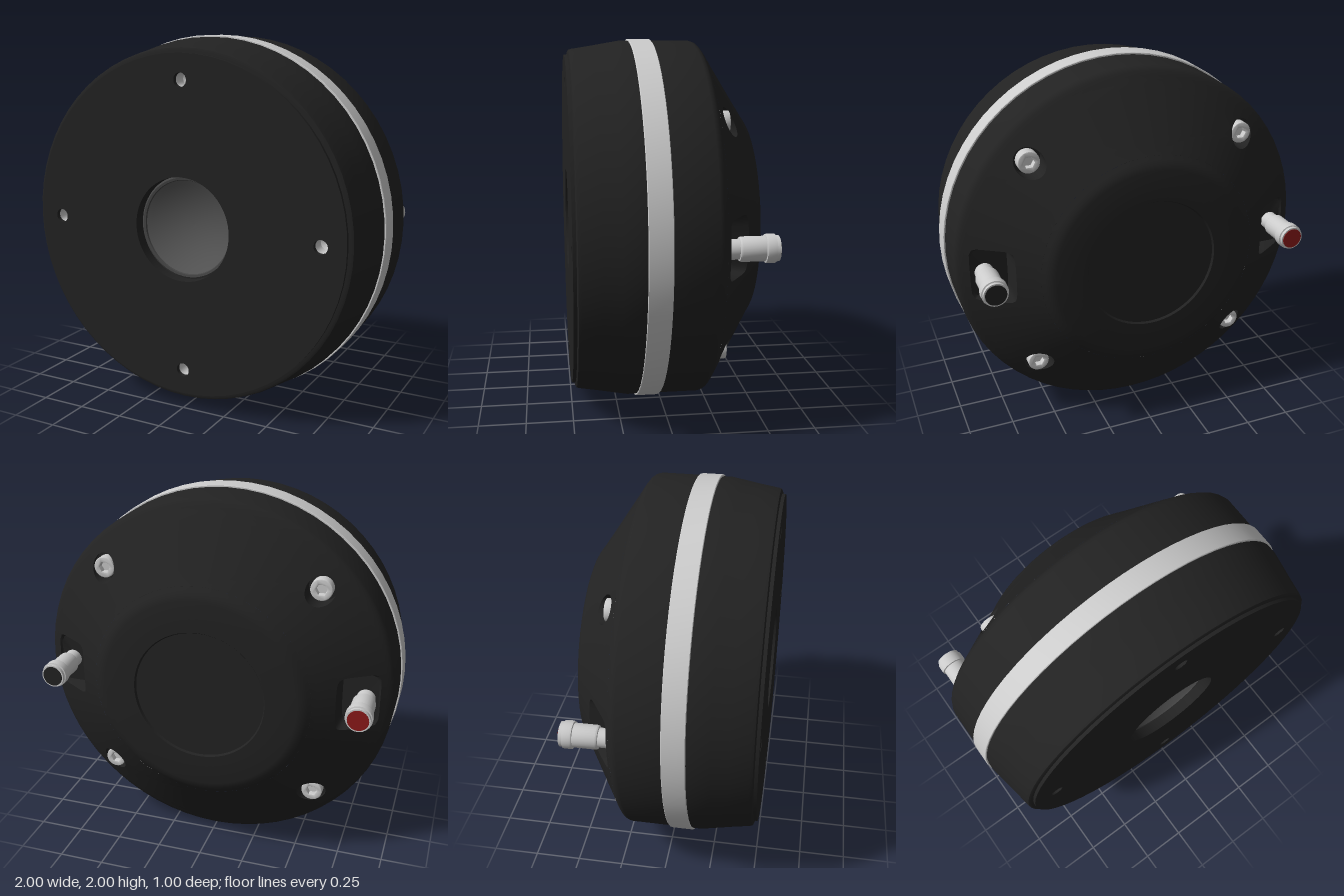
import * as THREE from 'three';
import { mergeGeometries, toCreasedNormals } from 'three/addons/utils/BufferGeometryUtils.js';

const SEG = 64;
const rad = THREE.MathUtils.degToRad;
const material = (color) => new THREE.MeshStandardMaterial({ color });
const black = material(0x222222), metal = material(0xcccccc), plugGrey = material(0x555555);
const rimGrey = material(0x444444), red = material(0x8c1a1a);

// Sharp edges kept, gentle ones smoothed (scaled up so small details stay distinct)
const crease = (g, angle = 0.5) => toCreasedNormals(g.scale(50, 50, 50), angle).scale(0.02, 0.02, 0.02);

// Profile of [radius, z] pairs turned about the z axis; listing back to front faces outward
const turned = (profile, seg = SEG) =>
  new THREE.LatheGeometry(profile.map(([r, z]) => new THREE.Vector2(r, z)), seg).rotateX(Math.PI / 2);

function add(parent, name, geometry, mat, x = 0, y = 0, z = 0) {
  const mesh = new THREE.Mesh(geometry, mat);
  mesh.name = name;
  mesh.position.set(x, y, z);
  parent.add(mesh);
  return mesh;
}

// Sloping rear cone between two radii
const R0 = 0.6, R1 = 0.95;
const coneZ = (r) => -0.455 + (r - R0) * (0.225 / (R1 - R0));

// Sector of the cone with a recess: loops run from the sector border to the
// recess edge, down its wall and across its floor
function coneSector(from, to, cx, cy, reach, floorZ, taper) {
  const mid = (from + to) / 2, arc = Math.round((to - from) / 5.625);
  const border = [];
  const side = (ra, ta, rb, tb, n) => {
    for (let i = 0; i < n; i++) border.push([ra + (rb - ra) * i / n, rad(ta + (tb - ta) * i / n)]);
  };
  side(R0, from, R1, from, 6);
  side(R1, from, R1, to, arc);
  side(R1, to, R0, to, 6);
  side(R0, to, R0, from, arc);

  // Extra points between border points keep the recess outline round
  const fine = border.flatMap((p, i) => {
    const q = border[(i + 1) % border.length];
    return [p, [(p[0] + q[0]) / 2, (p[1] + q[1]) / 2]];
  });
  const rim = fine.map(([r, t]) => {
    const a = Math.atan2(r * Math.sin(t) - cy, r * Math.cos(t) - cx), d = reach(a);
    return [cx + d * Math.cos(a), cy + d * Math.sin(a)];
  });
  const loops = [];
  for (let k = 0; k <= 4; k++) {
    loops.push(fine.map(([r, t], i) => {
      const [x, y] = rim[i], c = rad(mid), turn = Math.atan2(y, x) - c;
      const th = c + Math.atan2(Math.sin(turn), Math.cos(turn));
      const rr = THREE.MathUtils.lerp(r, Math.hypot(x, y), k / 4);
      const tt = THREE.MathUtils.lerp(t, th, k / 4);
      return [rr * Math.cos(tt), rr * Math.sin(tt), coneZ(rr)];
    }));
  }
  loops.push(rim.map(([x, y]) => {
    const fx = cx + (x - cx) * taper, fy = cy + (y - cy) * taper;
    return [fx, fy, Math.max(floorZ, coneZ(Math.hypot(fx, fy)))];
  }));
  loops.push(rim.map(() => [cx, cy, floorZ]));

  const pos = [], n = fine.length;
  for (let k = 0; k + 1 < loops.length; k++) {
    for (let i = 0; i < n; i++) {
      const j = (i + 1) % n, A = loops[k], B = loops[k + 1];
      pos.push(...A[i], ...B[i], ...A[j]);
      if (k + 2 < loops.length) pos.push(...B[i], ...B[j], ...A[j]);
    }
  }
  return new THREE.BufferGeometry().setAttribute('position', new THREE.Float32BufferAttribute(pos, 3));
}

const SCREW = 0.59, POST = 0.845;

function rearCover() {
  const bare = (g) => {
    const flat = g.toNonIndexed();
    flat.deleteAttribute('normal');
    flat.deleteAttribute('uv');
    return flat;
  };
  const parts = [
    // Back plate with its shallow round recess and rounded edge
    bare(turned([[0, -0.478], [0.355, -0.478], [0.362, -0.49], [0.53, -0.49], [0.56, -0.482], [0.582, -0.468], [R0, coneZ(R0)]])),
    // Rounded shoulder and cylindrical wall
    bare(turned([[R1, coneZ(R1)], [0.968, -0.218], [0.982, -0.205], [0.99, -0.185], [0.99, 0.05]])),
  ];
  // Rounded rectangular pockets for the terminals
  const pocket = (a) => 1 / Math.pow(Math.pow(Math.abs(Math.cos(a)) / 0.105, 7) + Math.pow(Math.abs(Math.sin(a)) / 0.15, 7), 1 / 7);
  for (const [from, s] of [[-22.5, 1], [157.5, -1]])
    parts.push(coneSector(from, from + 45, s * 0.815, 0, pocket, -0.24, 0.9));
  // Round counterbores for the screws
  for (const [from, sx, sy] of [[22.5, 1, 1], [90, -1, 1], [202.5, -1, -1], [270, 1, -1]])
    parts.push(coneSector(from, from + 67.5, sx * SCREW, sy * SCREW, () => 0.075, -0.235, 1));
  return crease(mergeGeometries(parts), 0.6);
}

// Disc outline with round holes of [x, y, radius]
function disc(radius, holes) {
  const shape = new THREE.Shape().absarc(0, 0, radius, 0, Math.PI * 2);
  for (const [x, y, r] of holes) shape.holes.push(new THREE.Path().absarc(x, y, r, 0, Math.PI * 2, true));
  return shape;
}

function capScrew() {
  const screw = new THREE.Group();
  const head = disc(0.058, []);
  const hex = Array.from({ length: 6 }, (_, i) =>
    new THREE.Vector2(0.03 * Math.cos(-i * Math.PI / 3), 0.03 * Math.sin(-i * Math.PI / 3)));
  head.holes.push(new THREE.Path(hex));
  const body = new THREE.ExtrudeGeometry(head, {
    depth: 0.05, bevelEnabled: true, bevelSize: 0.005, bevelOffset: -0.005, bevelThickness: 0.006, bevelSegments: 2, curveSegments: 16,
  });
  add(screw, 'screwHead', crease(body), metal, 0, 0, -0.29);
  add(screw, 'hexSocketFloor', new THREE.CircleGeometry(0.036, 6).rotateY(Math.PI), metal, 0, 0, -0.262);
  return screw;
}

function terminalPost(capMaterial) {
  const post = new THREE.Group();
  add(post, 'terminalBody', crease(turned([
    [0.055, -0.497], [0.064, -0.497], [0.064, -0.48], [0.071, -0.478], [0.072, -0.44], [0.07, -0.43],
    [0.062, -0.428], [0.062, -0.31], [0.058, -0.302], [0.05, -0.3], [0.05, -0.238],
  ], 28)), metal);
  add(post, 'terminalCap', turned([[0, -0.5], [0.056, -0.5], [0.056, -0.49]], 28).toNonIndexed(), capMaterial)
    .geometry.computeVertexNormals();
  return post;
}

export function createModel() {
  const model = new THREE.Group();
  model.name = 'compressionDriver';
  const driver = new THREE.Group();
  driver.name = 'driver';
  driver.position.y = 1;
  model.add(driver);

  add(driver, 'rearCover', rearCover(), black);
  add(driver, 'metalBand', crease(turned([[0.985, 0.035], [0.997, 0.035], [1, 0.038], [1, 0.152], [0.997, 0.155], [0.985, 0.155]])), metal);
  add(driver, 'frontHousing', crease(turned([
    [0.99, 0.14], [0.99, 0.2], [0.978, 0.27], [0.962, 0.36], [0.946, 0.46], [0.941, 0.476], [0.928, 0.482], [0.88, 0.482],
  ])), black);

  // Front plate with throat opening and four mounting holes
  const mounts = [[0.78, 0], [-0.78, 0], [0, 0.78], [0, -0.78]];
  const plate = disc(0.915, [[0, 0, 0.28], ...mounts.map(([x, y]) => [x, y, 0.037])]);
  add(driver, 'frontPlate', crease(new THREE.ExtrudeGeometry(plate, { depth: 0.025, bevelEnabled: false, curveSegments: 32 })), black, 0, 0, 0.475);
  for (const [x, y] of mounts)
    add(driver, 'mountingHole', crease(turned([[0.038, 0.492], [0.038, 0.4], [0, 0.38]], 20)), metal, x, y);

  // Throat wall, rim and concave screen
  add(driver, 'throatWall', crease(turned([[0.28, 0.5], [0.28, 0.435]])), black);
  add(driver, 'throatRim', crease(turned([[0.28, 0.437], [0.27, 0.444], [0.258, 0.442], [0.252, 0.43]])), rimGrey);
  const bowl = Array.from({ length: 11 }, (_, i) => {
    const r = 0.255 * (1 - i / 10);
    return [r, 0.36 + 0.075 * (r / 0.255) ** 2];
  });
  add(driver, 'throatScreen', turned(bowl), plugGrey);

  // Rear screws and terminals
  for (const sx of [1, -1]) {
    for (const sy of [1, -1]) {
      const screw = capScrew();
      screw.name = 'capScrew';
      screw.position.set(sx * SCREW, sy * SCREW, 0);
      driver.add(screw);
    }
    const post = terminalPost(sx < 0 ? red : black);
    post.name = sx < 0 ? 'redTerminal' : 'blackTerminal';
    post.position.x = sx * POST;
    driver.add(post);
  }
  return model;
}
